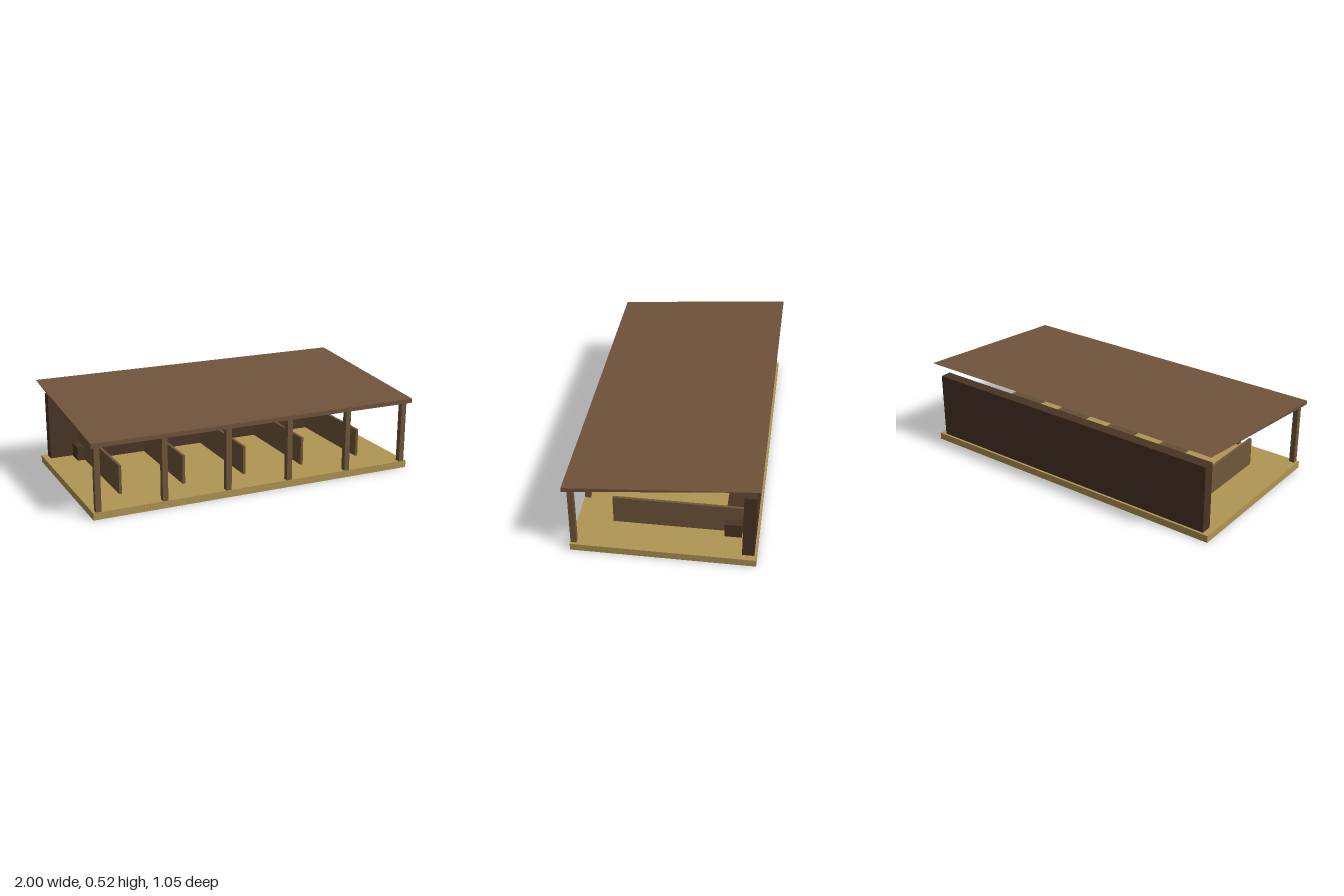
import * as THREE from 'three';

export function createModel() {
  const model = new THREE.Group();
  model.name = 'openStable';

  const material = (name, color) => {
    const m = new THREE.MeshStandardMaterial({ color });
    m.name = name;
    return m;
  };
  const straw = material('straw floor', 0xb09553);
  const timber = material('timber', 0x70563a);
  const roofWood = material('roof wood', 0x70543a);
  const darkWood = material('dark wood', 0x4a3424);

  // Box given by its low and high bounds on each axis
  function addBox(name, mat, [x0, x1], [y0, y1], [z0, z1]) {
    const mesh = new THREE.Mesh(new THREE.BoxGeometry(x1 - x0, y1 - y0, z1 - z0), mat);
    mesh.position.set((x0 + x1) / 2, (y0 + y1) / 2, (z0 + z1) / 2);
    mesh.name = name;
    model.add(mesh);
  }

  // Floor, back wall and the long feeding trough
  addBox('floor', straw, [-0.993, 0.993], [0, 0.042], [-0.518, 0.505]);
  addBox('backWall', darkWood, [-0.956, 0.956], [0.002, 0.439], [-0.504, -0.437]);
  addBox('trough', darkWood, [-0.82, 0.82], [0.04, 0.126], [-0.424, -0.327]);

  // Six front posts
  for (let i = 0; i < 6; i++) {
    const x = (i - 2.5) * 0.3845;
    addBox('frontPost', timber, [x - 0.016, x + 0.016], [0.002, 0.417], [0.47, 0.503]);
  }

  // Five stall partitions
  for (let i = -2; i <= 2; i++) {
    const x = i * 0.3835;
    addBox('stallPartition', timber, [x - 0.008, x + 0.008], [0.04, 0.212], [-0.438, 0.302]);
  }

  // Sloping roof: a wedge thinning to nothing at the back
  const profile = new THREE.Shape([
    new THREE.Vector2(0.527, 0.414),
    new THREE.Vector2(0.527, 0.439),
    new THREE.Vector2(-0.527, 0.522),
  ]);
  const wedge = new THREE.ExtrudeGeometry(profile, { depth: 2, bevelEnabled: false });
  wedge.translate(0, 0, -1).rotateY(-Math.PI / 2);
  const roof = new THREE.Mesh(wedge, roofWood);
  roof.name = 'roof';
  model.add(roof);

  return model;
}
